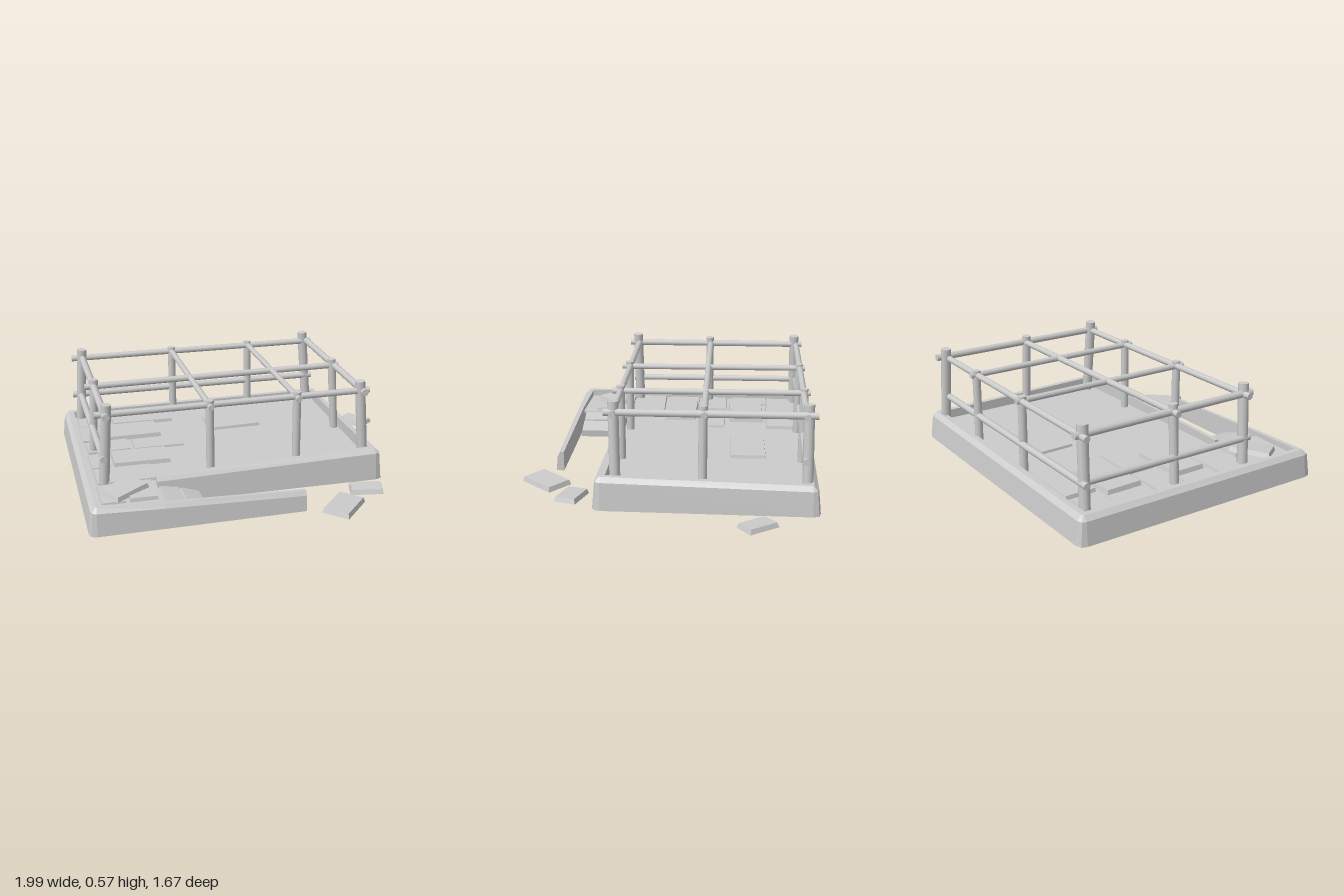
import * as THREE from 'three';

const mat = new THREE.MeshStandardMaterial({ color: 0xcccccc, flatShading: true });
const smooth = new THREE.MeshStandardMaterial({ color: 0xcccccc });
const thin = new THREE.MeshStandardMaterial({ color: 0xcccccc, side: THREE.DoubleSide });

function add(group, name, geometry, material = mat) {
  const mesh = new THREE.Mesh(geometry, material);
  mesh.name = name;
  group.add(mesh);
  return mesh;
}

// Round pole between two points
function pole(group, name, a, b, r) {
  const p = new THREE.Vector3(...a), q = new THREE.Vector3(...b);
  const mesh = add(group, name, new THREE.CylinderGeometry(r, r, p.distanceTo(q), 10), smooth);
  mesh.position.copy(p).add(q).multiplyScalar(0.5);
  mesh.quaternion.setFromUnitVectors(new THREE.Vector3(0, 1, 0), q.sub(p).normalize());
}

// Stone slab with a slightly narrower top
function slab(group, name, x, y, z, w, d, h, turn = 0, tiltX = 0, tiltZ = 0) {
  const g = new THREE.BoxGeometry(w, h, d);
  const p = g.attributes.position;
  for (let i = 0; i < p.count; i++) {
    if (p.getY(i) > 0) {
      p.setX(i, p.getX(i) - Math.sign(p.getX(i)) * 0.008);
      p.setZ(i, p.getZ(i) - Math.sign(p.getZ(i)) * 0.008);
    }
  }
  const mesh = add(group, name, g);
  mesh.position.set(x, y, z);
  mesh.rotation.set(tiltX, turn, tiltZ, 'YXZ');
}

// Bevelled wall swept along a path of [x, z, height, width]
function wallGeometry(path) {
  const rings = path.map(([x, z, h, w], i) => {
    const dir = (a, b) => new THREE.Vector2(b[0] - a[0], b[1] - a[1]).normalize();
    const d1 = dir(path[Math.max(i - 1, 0)], path[Math.max(i, 1)]);
    const last = path.length - 1;
    const d2 = dir(path[Math.min(i, last - 1)], path[Math.min(i + 1, last)]);
    const n1 = new THREE.Vector2(-d1.y, d1.x), n2 = new THREE.Vector2(-d2.y, d2.x);
    const n = n1.clone().add(n2).divideScalar(1 + n1.dot(n2));
    const section = [[0, 0], [0.2 * w, h - 0.025], [0.55 * w, h], [w, h], [w, 0]];
    return section.map(([o, y]) => [x + n.x * o, y, z + n.y * o]);
  });
  const v = [];
  const n = 5;
  for (let i = 0; i < rings.length - 1; i++) {
    for (let j = 0; j < n; j++) {
      const k = (j + 1) % n;
      const a = rings[i][j], b = rings[i][k], c = rings[i + 1][k], d = rings[i + 1][j];
      v.push(...a, ...b, ...c, ...a, ...c, ...d);
    }
  }
  const s = rings[0], e = rings[rings.length - 1];
  for (let k = 1; k < n - 1; k++) v.push(...s[0], ...s[k + 1], ...s[k], ...e[0], ...e[k], ...e[k + 1]);
  const g = new THREE.BufferGeometry();
  g.setAttribute('position', new THREE.Float32BufferAttribute(v, 3));
  g.computeVertexNormals();
  return g;
}

export function createModel() {
  const model = new THREE.Group();
  model.name = 'ruinedFoundation';

  // Foundation wall, broken open at the front
  add(model, 'foundationWall', wallGeometry([
    [0.165, 0.67, 0.112, 0.045], [-0.6, 0.668, 0.136, 0.05],
    [-0.96, 0.665, 0.148, 0.065], [-0.99, 0.655, 0.15, 0.07], [-1, 0.62, 0.15, 0.07],
    [-0.975, -0.8, 0.15, 0.07], [-0.965, -0.83, 0.15, 0.07], [-0.93, -0.842, 0.15, 0.07],
    [0.69, -0.812, 0.158, 0.07], [0.728, -0.802, 0.16, 0.07], [0.738, -0.77, 0.16, 0.07],
    [0.722, 0.35, 0.178, 0.07], [0.712, 0.38, 0.18, 0.07], [0.68, 0.392, 0.18, 0.07],
    [-0.59, 0.365, 0.15, 0.05],
  ]));

  // Thin floor with a narrow arm behind the broken wall
  const outline = [[-0.94, -0.79], [0.69, -0.77], [0.68, 0.35], [-0.59, 0.33], [-0.6, 0.62], [-0.95, 0.62]];
  const floor = new THREE.ExtrudeGeometry(
    new THREE.Shape(outline.map(([x, z]) => new THREE.Vector2(x, -z))), { depth: 0.015, bevelEnabled: false });
  floor.rotateX(-Math.PI / 2);
  floor.translate(0, 0.095, 0);
  add(model, 'floor', floor, thin);

  // Paving slabs: x0, x1, z0, z1, top height
  const paving = new THREE.Group();
  paving.name = 'paving';
  model.add(paving);
  [
    [-0.69, -0.31, -0.74, -0.55, 0.13], [-0.9, -0.7, -0.73, -0.56, 0.122],
    [-0.76, -0.43, -0.54, -0.32, 0.135], [-0.91, -0.77, -0.57, -0.33, 0.122],
    [-0.63, -0.32, -0.3, -0.14, 0.122], [-0.9, -0.64, -0.31, -0.14, 0.126],
    [-0.78, -0.45, -0.12, 0.08, 0.135], [-0.91, -0.79, -0.13, 0.08, 0.122],
    [-0.91, -0.58, 0.09, 0.3, 0.126], [-0.92, -0.78, 0.3, 0.54, 0.122],
    [-0.77, -0.61, 0.31, 0.54, 0.13], [-0.13, 0.2, -0.54, -0.33, 0.126],
  ].forEach(([x0, x1, z0, z1, top], i) => slab(paving, 'pavingSlab',
    (x0 + x1) / 2, top - 0.02, (z0 + z1) / 2, x1 - x0, z1 - z0, 0.04, 0.012 * (i % 3 - 1), 0, 0.02 * (i % 2 - 0.5)));

  // Fallen slabs in the gap, on the floor and on the ground
  const rubble = new THREE.Group();
  rubble.name = 'fallenSlabs';
  model.add(rubble);
  slab(rubble, 'gapSlab', -0.53, 0.085, 0.49, 0.12, 0.23, 0.04, 0.03, 0, -0.2);
  slab(rubble, 'gapSlab', -0.42, 0.055, 0.49, 0.12, 0.23, 0.04, 0, 0, -0.3);
  slab(rubble, 'looseSlab', -0.78, 0.142, 0.42, 0.23, 0.15, 0.025, 0.6, 0.06, 0.04);
  slab(rubble, 'groundSlab', 0.89, 0.02, -0.48, 0.12, 0.18, 0.026, 0.62, 0, 0.05);
  slab(rubble, 'groundSlab', 0.565, 0.02, 0.52, 0.185, 0.125, 0.026, -0.28, 0, 0.04);
  slab(rubble, 'groundSlab', 0.367, 0.02, 0.69, 0.24, 0.155, 0.028, 0.83, 0.04, 0);

  // Pole frame: leaning posts
  const frame = new THREE.Group();
  frame.name = 'poleFrame';
  model.add(frame);
  for (const z of [0.28, -0.735]) {
    pole(frame, 'cornerPost', [-0.872, 0, z - 0.01], [-0.835, 0.57, z], 0.029);
    pole(frame, 'cornerPost', [0.645, 0, z - 0.01], [0.6, 0.57, z], 0.029);
    for (const x of [-0.272, 0.228]) pole(frame, 'middlePost', [x, 0.06, z], [x, 0.54, z], 0.023);
  }
  pole(frame, 'sidePost', [-0.865, 0.06, -0.19], [-0.835, 0.555, -0.19], 0.024);
  pole(frame, 'sidePost', [0.635, 0.06, -0.19], [0.605, 0.555, -0.19], 0.024);

  // Upper rails
  pole(frame, 'frontRail', [-0.9, 0.513, 0.272], [0.655, 0.513, 0.282], 0.018);
  pole(frame, 'backRail', [-0.9, 0.513, -0.75], [0.655, 0.513, -0.725], 0.018);
  pole(frame, 'centreRail', [-0.89, 0.513, -0.195], [0.65, 0.513, -0.195], 0.018);
  for (const x of [-0.845, 0.615]) pole(frame, 'sideRail', [x, 0.513, 0.33], [x + 0.01, 0.517, -0.785], 0.02);
  for (const x of [-0.272, 0.228]) pole(frame, 'crossRail', [x, 0.51, 0.325], [x, 0.515, -0.77], 0.017);

  // Lower rails on the back and the right-hand side
  pole(frame, 'lowerBackRail', [-0.905, 0.275, -0.755], [0.665, 0.275, -0.73], 0.019);
  pole(frame, 'lowerSideRail', [-0.865, 0.268, 0.31], [-0.855, 0.275, -0.77], 0.019);

  return model;
}
